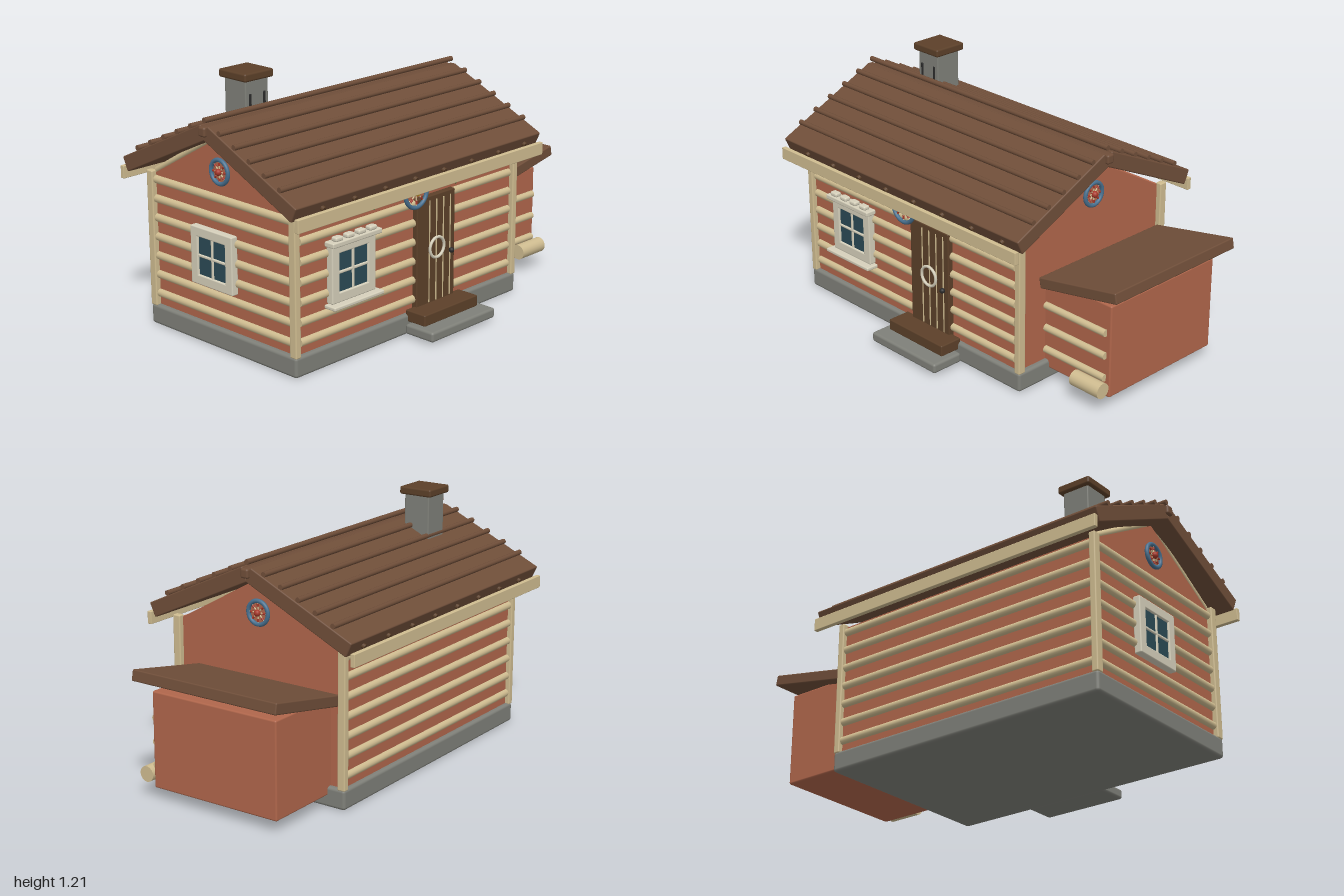
import * as THREE from 'three';
import { RoundedBoxGeometry } from 'three/addons/geometries/RoundedBoxGeometry.js';

const mat = (color) => new THREE.MeshStandardMaterial({ color });
const M = {
  wall: mat(0xb0664b), roof: mat(0x6f4e39), wood: mat(0x5c4029), cream: mat(0xcfbc90),
  stone: mat(0x7f8079), trim: mat(0xd6d0bb), glass: mat(0x2b4a55), blue: mat(0x48708f),
  red: mat(0xa8382a), gold: mat(0xd9a52a), green: mat(0x4f7a3c), dark: mat(0x2b2b2b),
};
const ZC = -0.043;                 // ridge line
const X0 = -0.89, X1 = 0.53;       // end walls
const Z0 = -0.498, Z1 = 0.412;     // long walls
const SLOPE = THREE.MathUtils.degToRad(25);

function add(parent, name, geo, material, x = 0, y = 0, z = 0) {
  const m = new THREE.Mesh(geo, material);
  m.name = name;
  m.position.set(x, y, z);
  parent.add(m);
  return m;
}
// Box given by its limits on each axis, with softened edges
function block(parent, name, material, x0, x1, y0, y1, z0, z1, r = 0.006) {
  const w = x1 - x0, h = y1 - y0, d = z1 - z0;
  const geo = new RoundedBoxGeometry(w, h, d, 2, Math.min(r, w * 0.4, h * 0.4, d * 0.4));
  return add(parent, name, geo, material, (x0 + x1) / 2, (y0 + y1) / 2, (z0 + z1) / 2);
}
// Round bar between two points
function rod(parent, name, material, a, b, r, sides = 14) {
  const A = new THREE.Vector3(...a), B = new THREE.Vector3(...b), dir = B.clone().sub(A);
  const m = add(parent, name, new THREE.CylinderGeometry(r, r, dir.length(), sides), material);
  m.position.copy(A).add(B).multiplyScalar(0.5);
  m.quaternion.setFromUnitVectors(new THREE.Vector3(0, 1, 0), dir.normalize());
  return m;
}
function group(parent, name, x, y, z, turn = 0) {
  const g = new THREE.Group();
  g.name = name;
  g.position.set(x, y, z);
  g.rotation.y = turn;
  parent.add(g);
  return g;
}

// Spoked wheel facing its own +z
function wheel(parent, name, x, y, z, turn, radius, hub) {
  const g = group(parent, name, x, y, z, turn);
  add(g, 'rim', new THREE.TorusGeometry(radius - 0.01, 0.01, 10, 36), M.blue);
  for (let i = 0; i < 8; i++) {
    const a = (i * Math.PI) / 4, c = Math.cos(a), s = Math.sin(a), R = radius - 0.012;
    rod(g, 'spoke', M.cream, [c * 0.012, s * 0.012, 0], [c * R, s * R, 0], 0.0035, 8);
    rod(g, 'spokeTip', M.red, [c * R * 0.55, s * R * 0.55, 0.001], [c * R * 0.8, s * R * 0.8, 0.001], 0.005, 8);
  }
  add(g, 'hub', new THREE.SphereGeometry(0.016, 14, 10), hub, 0, 0, 0.006);
}

// Four-pane window facing its own +z, with its centre at the glass
function windowUnit(parent, name, x, y, z, turn, ornate) {
  const g = group(parent, name, x, y, z, turn);
  block(g, 'glass', M.glass, -0.1, 0.1, -0.1, 0.1, -0.01, 0.012);
  for (const s of [-1, 1]) {
    block(g, 'jamb', M.trim, s * 0.112 - 0.023, s * 0.112 + 0.023, -0.135, 0.135, -0.015, 0.022);
    block(g, 'rail', M.trim, -0.1, 0.1, s * 0.112 - 0.023, s * 0.112 + 0.023, -0.015, 0.022);
  }
  block(g, 'muntin', M.trim, -0.007, 0.007, -0.1, 0.1, 0, 0.018);
  block(g, 'muntin', M.trim, -0.1, 0.1, -0.007, 0.007, 0, 0.018);
  if (!ornate) return;
  block(g, 'sill', M.trim, -0.155, 0.155, -0.152, -0.134, -0.01, 0.056);
  block(g, 'header', M.trim, -0.152, 0.152, 0.128, 0.152, -0.01, 0.046);
  for (const kx of [-0.105, -0.035, 0.035, 0.105])
    block(g, 'carvedKnob', M.trim, kx - 0.023, kx + 0.023, 0.15, 0.172, 0.005, 0.04, 0.009);
}

function buildBody(root) {
  const g = group(root, 'body', 0, 0, 0);
  block(g, 'foundation', M.stone, -0.915, 0.555, 0, 0.095, -0.52, 0.435, 0.014);
  block(g, 'walls', M.wall, X0, X1, 0.08, 0.725, Z0, Z1, 0.003);
  // Triangular gable mass under the roof
  const tri = new THREE.Shape();
  tri.moveTo(-0.45, 0.72).lineTo(0.45, 0.72).lineTo(0, 0.975).closePath();
  const gable = new THREE.ExtrudeGeometry(tri, { depth: X1 - X0, bevelEnabled: false });
  add(g, 'gable', gable, M.wall, X0, 0, ZC).rotation.y = Math.PI / 2;
  for (const x of [-0.899, 0.539]) for (const z of [0.416, -0.501])
    block(g, 'cornerPost', M.cream, x - 0.016, x + 0.016, 0.09, 0.737, z - 0.02, z + 0.02);
  // Half-sunk logs on the front, back and left walls
  for (let i = 0; i < 7; i++) {
    const y = 0.15 + i * 0.0908;
    rod(g, 'frontLog', M.cream, [-0.872, y, Z1], [0.512, y, Z1], 0.019);
    rod(g, 'backLog', M.cream, [-0.882, y, Z0], [0.522, y, Z0], 0.019);
    rod(g, 'leftLog', M.cream, [X0, y, -0.485], [X0, y, 0.4], 0.019);
  }
  for (const s of [-1, 1])
    rod(g, 'gableTrim', M.cream, [X0 + 0.01, 0.737, ZC + s * 0.44], [X0 + 0.01, 0.975, ZC + s * 0.03], 0.014);
}

function buildRoof(root) {
  const g = group(root, 'roof', 0, 0, 0);
  for (const s of [-1, 1]) {
    const slab = block(g, 'roofSlope', M.roof, -0.983, 0.622, -0.036, 0.036, -0.295, 0.295);
    slab.position.set(-0.18, 0.887, ZC + s * 0.275);
    slab.rotation.x = s * SLOPE;
    for (let i = 1; i <= 5; i++) {
      const y = 1.065 - i * 0.0422, z = ZC + s * i * 0.0913;
      rod(g, 'batten', M.roof, [-0.978, y, z], [0.617, y, z], 0.0125, 12);
    }
    // Eave board carried on rafter tails
    const ez = ZC + s * 0.562;
    block(g, 'eaveBoard', M.cream, -0.985, 0.622, 0.692, 0.752, ez - 0.011, ez + 0.011, 0.003);
    for (let i = 0; i < 8; i++) {
      const x = -0.815 + i * 0.19;
      rod(g, 'rafterTail', M.wood, [x, 0.755, ZC + s * 0.555], [x, 0.81, ZC + s * 0.42], 0.012, 10);
    }
  }
  rod(g, 'ridgeCap', M.roof, [-0.978, 1.065, ZC], [0.617, 1.065, ZC], 0.0125, 12);
  block(g, 'ridgePole', M.roof, -0.997, 0.638, 0.995, 1.04, ZC - 0.021, ZC + 0.021, 0.01);

  const c = group(root, 'chimney', -0.618, 0, -0.167);
  block(c, 'stack', M.stone, -0.068, 0.068, 0.9, 1.18, -0.068, 0.068);
  block(c, 'cap', M.wood, -0.086, 0.086, 1.172, 1.21, -0.087, 0.087, 0.009);
  for (const s of [-1, 1])
    block(c, 'ventSlot', M.dark, s * 0.042 - 0.006, s * 0.042 + 0.006, 1.03, 1.112, 0.06, 0.073, 0.002);
}

function buildEntrance(root) {
  const g = group(root, 'entrance', 0, 0, 0);
  block(g, 'door', M.wood, -0.157, 0.1, 0.1, 0.627, 0.4, 0.439);
  for (let i = 0; i < 4; i++) {
    const x = -0.075 + i * 0.047;
    block(g, 'doorSeam', M.cream, x - 0.003, x + 0.003, 0.118, 0.605, 0.43, 0.442, 0.001);
  }
  add(g, 'wreath', new THREE.TorusGeometry(0.048, 0.007, 8, 32), M.trim, -0.028, 0.375, 0.445);
  add(g, 'doorKnob', new THREE.SphereGeometry(0.013, 12, 10), M.dark, 0.068, 0.337, 0.449);
  block(g, 'woodStep', M.wood, -0.21, 0.155, 0.06, 0.115, 0.42, 0.537);
  block(g, 'stoneStep', M.stone, -0.245, 0.19, 0.015, 0.063, 0.449, 0.615, 0.012);
  wheel(g, 'doorWheel', -0.183, 0.672, 0.455, 0, 0.08, M.gold);
  // Garland hung under the eave
  const pts = [];
  for (let i = 0; i <= 16; i++) {
    const x = -0.72 + i * 0.0675;
    pts.push(new THREE.Vector3(x, 0.668 + 0.012 * Math.cos((i + 8) * Math.PI / 4), 0.44));
  }
  const vine = new THREE.CatmullRomCurve3(pts);
  add(g, 'garland', new THREE.TubeGeometry(vine, 64, 0.005, 6), M.green);
  pts.forEach((p, i) => {
    const leaf = add(g, 'leaf', new THREE.SphereGeometry(0.012, 8, 6), M.green, p.x, p.y, p.z);
    leaf.scale.set(1.4, 0.35, 0.5);
    leaf.rotation.z = i % 2 ? 0.5 : -0.5;
  });
}

function buildLeanTo(root) {
  const g = group(root, 'leanTo', 0, 0, 0);
  block(g, 'shed', M.wall, 0.5, 0.925, 0.055, 0.507, -0.43, 0.247, 0.008);
  // Roof rising away from the house
  const roof = block(g, 'shedRoof', M.roof, -0.23, 0.23, -0.026, 0.026, -0.392, 0.392);
  roof.position.set(0.768, 0.544, -0.092);
  roof.rotation.z = 0.193;
  for (const y of [0.15, 0.26, 0.372])
    rod(g, 'shedLog', M.cream, [0.54, y, 0.254], [0.902, y, 0.254], 0.017);
  rod(g, 'looseLog', M.cream, [0.757, 0.109, 0.291], [0.926, 0.109, 0.291], 0.037, 20);
}

export function createModel() {
  const root = new THREE.Group();
  root.name = 'logCabin';
  buildBody(root);
  buildRoof(root);
  buildEntrance(root);
  buildLeanTo(root);
  windowUnit(root, 'frontWindow', -0.575, 0.42, 0.43, 0, true);
  windowUnit(root, 'leftWindow', -0.906, 0.415, -0.08, -Math.PI / 2, false);
  wheel(root, 'rightGableWheel', X1 + 0.008, 0.82, ZC, Math.PI / 2, 0.064, M.red);
  wheel(root, 'leftGableWheel', X0 - 0.008, 0.82, ZC, -Math.PI / 2, 0.064, M.red);
  return root;
}
